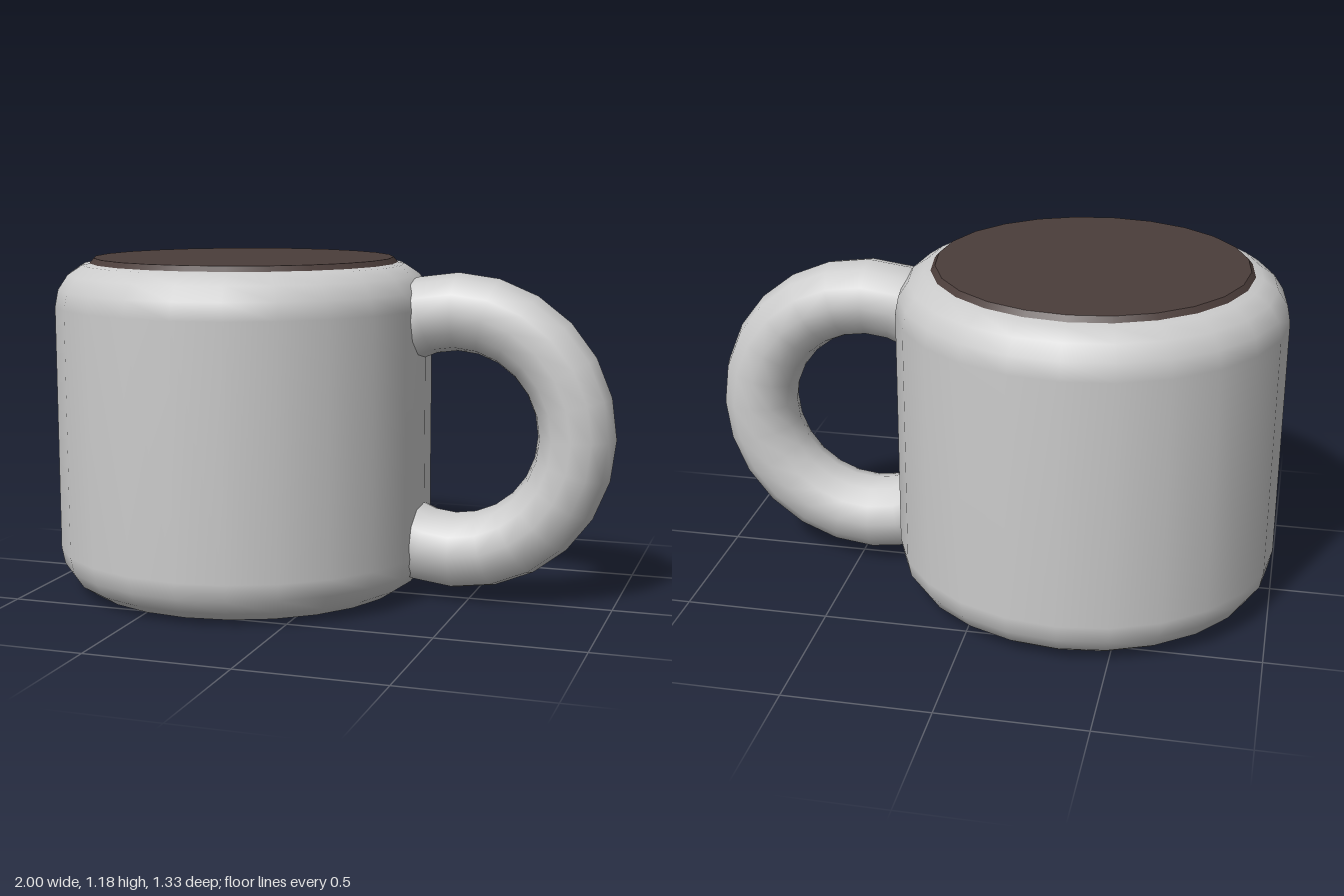
import * as THREE from 'three';

const SIDES = 24;
const CUP_X = -0.333;

export function createModel() {
  const group = new THREE.Group();
  const ceramic = new THREE.MeshStandardMaterial({ color: 0xcccccc });
  const dark = new THREE.MeshStandardMaterial({ color: 0x4b3d3a });

  const add = (name, geometry, material, x, y) => {
    const mesh = new THREE.Mesh(geometry, material);
    mesh.name = name;
    mesh.position.set(x, y, 0);
    group.add(mesh);
  };

  // Cup body: straight wall with rounded rims, closed top and bottom
  const radius = 0.667, height = 1.168, round = 0.155, steps = 4;
  const flat = radius - round;
  const profile = [new THREE.Vector2(0, 0), new THREE.Vector2(flat - 0.015, 0)];
  const addCorner = (centreY, startAngle) => {
    for (let i = 0; i <= steps; i++) {
      const a = startAngle + (i / steps) * Math.PI / 2;
      profile.push(new THREE.Vector2(flat + round * Math.cos(a), centreY + round * Math.sin(a)));
    }
  };
  addCorner(round, -Math.PI / 2);
  addCorner(height - round, 0);
  profile.push(new THREE.Vector2(flat - 0.015, height), new THREE.Vector2(0, height));
  add('cupBody', new THREE.LatheGeometry(profile, SIDES), ceramic, CUP_X, 0);

  // Drink: thin dark disc with a slightly bevelled edge
  add('drinkSurface', new THREE.CylinderGeometry(0.53, 0.545, 0.018, SIDES), dark, CUP_X, 1.171);

  // Handle: ring section whose ends are buried in the cup wall
  const arc = Math.PI * 4 / 3;
  const handle = new THREE.TorusGeometry(0.417, 0.134, 12, 16, arc);
  handle.rotateZ(-arc / 2);
  add('handle', handle, ceramic, 0.449, 0.589);

  return group;
}
